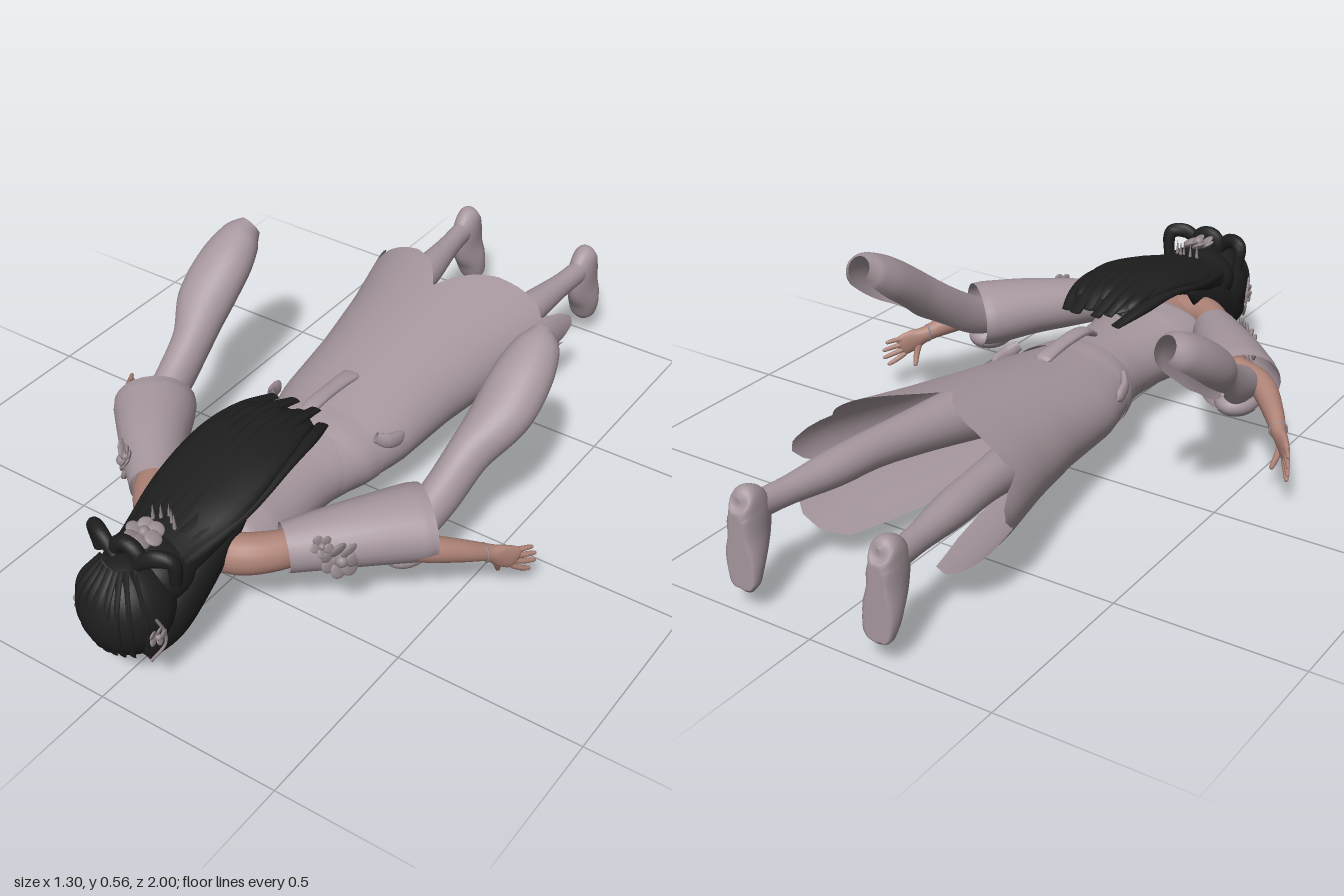
import * as THREE from 'three';

const mat = (name, color) => {
  const m = new THREE.MeshStandardMaterial({ color, side: THREE.DoubleSide });
  m.name = name;
  return m;
};
const V = (x, y, z) => new THREE.Vector3(x, y, z);
const Y = V(0, 1, 0), Z = V(0, 0, 1);

// Grid surface from a rule fn(u, v); closed joins the u ends
function surface(fn, nu, nv, closed = true) {
  const pos = [], idx = [], row = closed ? nu : nu + 1;
  for (let j = 0; j <= nv; j++)
    for (let i = 0; i < row; i++) pos.push(...fn(i / nu, j / nv).toArray());
  for (let j = 0; j < nv; j++)
    for (let i = 0; i < nu; i++) {
      const a = j * row + i, b = j * row + (i + 1) % row;
      idx.push(a, b, a + row, b, b + row, a + row);
    }
  const g = new THREE.BufferGeometry();
  g.setAttribute('position', new THREE.Float32BufferAttribute(pos, 3));
  g.setIndex(idx);
  g.computeVertexNormals();
  return g;
}

// Smooth tube through stations [x, y, z, half width, half height]; an arc in degrees leaves it open, zMin flattens it
function loft(st, nu = 20, up = Y, arc = [0, 360], zMin = -2) {
  const path = new THREE.CatmullRomCurve3(st.map(s => V(s[0], s[1], s[2])));
  const size = new THREE.CatmullRomCurve3(st.map((s, i) => V(s[3], s[4], i * 0.1)));
  return surface((u, v) => {
    const c = path.getPoint(v), s = size.getPoint(v), a = THREE.MathUtils.degToRad(THREE.MathUtils.lerp(arc[0], arc[1], u));
    const t = path.getTangent(v), side = t.clone().cross(up).normalize(), n = side.clone().cross(t);
    c.addScaledVector(side, Math.cos(a) * Math.max(s.x, 0.001)).addScaledVector(n, Math.sin(a) * Math.max(s.y, 0.001));
    c.z = Math.max(c.z, zMin);
    return c;
  }, nu, st.length * 5, arc[1] - arc[0] === 360);
}

// Linear lookup in rows [key, value...]
function lookup(rows, k, col = 1) {
  for (let i = 1; i < rows.length; i++)
    if (k <= rows[i][0]) {
      const f = (k - rows[i - 1][0]) / (rows[i][0] - rows[i - 1][0]);
      return THREE.MathUtils.lerp(rows[i - 1][col], rows[i][col], Math.max(0, f));
    }
  return rows[rows.length - 1][col];
}

export function createModel() {
  const model = new THREE.Group();
  const cloth = mat('mauve cloth', 0xa6979e), skin = mat('skin', 0xad8276);
  const hair = mat('black hair', 0x1e1e1e), trim = mat('grey trim', 0x94888d), lip = mat('lips', 0x8c4a48);
  const add = (name, geo, m, parent = model) => {
    const mesh = new THREE.Mesh(geo, m);
    mesh.name = name;
    parent.add(mesh);
    return mesh;
  };
  const ball = (name, p, r, m, parent) => {
    const b = add(name, new THREE.SphereGeometry(1, 28, 20), m, parent);
    b.position.set(...p);
    b.scale.set(...r);
    return b;
  };
  // Ring of petals around a small centre
  const flower = (name, p, r, parent, n = 6) => {
    const f = new THREE.Group();
    f.name = name;
    for (let i = 0; i < n; i++) {
      const a = i / n * Math.PI * 2;
      const b = ball('petal', [Math.cos(a) * r * 0.55, Math.sin(a) * r * 0.55, 0], [r * 0.45, r * 0.42, r * 0.14], trim, f);
      b.rotation.set(0.4 * Math.sin(a), 0.5, a);
    }
    ball('flowerCentre', [0, 0, r * 0.1], [r * 0.3, r * 0.3, r * 0.3], trim, f);
    f.position.set(...p);
    parent.add(f);
    return f;
  };

  // Bodice and neck
  add('bodice', loft([[0, 0.225, 0.62, 0.1, 0.045], [0, 0.205, 0.58, 0.155, 0.085], [0, 0.18, 0.5, 0.165, 0.108],
    [0, 0.178, 0.4, 0.145, 0.104], [0, 0.18, 0.27, 0.135, 0.104], [0, 0.185, 0.15, 0.155, 0.108]], 32), cloth);
  add('neck', loft([[0, 0.21, 0.8, 0.045, 0.045], [0, 0.22, 0.7, 0.045, 0.045], [0, 0.225, 0.62, 0.1, 0.05], [0, 0.22, 0.57, 0.13, 0.06]]), skin);

  // Long skirt with a scalloped hem and a front slit
  const rings = [[-0.75, 0.325, 0.25, 0.187], [-0.6, 0.305, 0.243, 0.18], [-0.4, 0.255, 0.226, 0.162],
    [-0.2, 0.22, 0.21, 0.143], [0, 0.202, 0.192, 0.123], [0.1, 0.177, 0.186, 0.113], [0.22, 0.14, 0.18, 0.105]];
  const hem = [[-90, -0.05], [-82, -0.2], [-72, -0.55], [-66, -0.69], [-55, -0.73], [-42, -0.73], [-25, -0.69], [-14, -0.61], [-9, -0.64],
    [0, -0.67], [10, -0.67], [18, -0.63], [24, -0.565], [35, -0.58], [50, -0.575], [64, -0.56], [74, -0.53], [82, -0.49], [90, -0.43]];
  add('skirt', surface((u, v) => {
    const a = u * Math.PI * 2 - Math.PI / 2;
    const deg = Math.asin(THREE.MathUtils.clamp(Math.sin(a), -1, 1)) * 180 / Math.PI;
    const z = THREE.MathUtils.lerp(0.22, lookup(hem, deg), v);
    return V(Math.cos(a) * lookup(rings, z, 1), lookup(rings, z, 2) + Math.sin(a) * lookup(rings, z, 3), z);
  }, 120, 24), cloth);

  // Waist sash, back ribbon and front pendant
  add('waistSash', loft([[0, 0.185, 0.17, 0.158, 0.112], [0, 0.187, 0.13, 0.174, 0.117], [0, 0.188, 0.09, 0.184, 0.119]], 32), cloth);
  add('backRibbon', loft([[0, 0.3, 0.22, 0.012, 0.008], [0, 0.33, 0.16, 0.022, 0.012], [0, 0.332, 0.05, 0.022, 0.012],
    [0, 0.325, -0.03, 0.025, 0.01], [0, 0.322, -0.04, 0.018, 0.004]], 12), cloth);
  add('pendantCord', loft([[0, 0.07, 0.42, 0.006, 0.005], [0, 0.05, 0.36, 0.01, 0.008], [0, 0.042, 0.31, 0.012, 0.01]], 8), trim);
  add('pendantRibbon', loft([[0, 0.045, 0.34, 0.005, 0.004], [0, 0.04, 0.3, 0.017, 0.009], [0, 0.018, 0.13, 0.017, 0.01], [0, 0.014, 0.11, 0.012, 0.01]], 12), cloth);
  flower('pendantFlower', [0, 0.045, 0.35], 0.022, model);

  // Head and face, turned downward
  ball('face', [0, 0.165, 0.815], [0.08, 0.083, 0.092], skin);
  ball('nose', [0, 0.083, 0.805], [0.01, 0.012, 0.016], skin);
  ball('lips', [0, 0.094, 0.768], [0.02, 0.007, 0.007], lip);
  ball('hairCap', [0, 0.22, 0.885], [0.12, 0.128, 0.115], hair);
  ball('hairNape', [0, 0.27, 0.8], [0.115, 0.085, 0.11], hair);
  // Long hair streaming along the back
  add('longHair', loft([[0, 0.28, 0.84, 0.1, 0.06], [0, 0.3, 0.72, 0.115, 0.06], [0, 0.345, 0.6, 0.135, 0.045],
    [0, 0.385, 0.45, 0.13, 0.033], [0, 0.388, 0.34, 0.11, 0.026], [0, 0.372, 0.26, 0.085, 0.014], [0, 0.365, 0.23, 0.05, 0.003]], 28), hair);
  for (let i = 0; i < 9; i++) {
    const x = (i - 4) / 4, r = 0.6 + 0.4 * Math.sqrt(1 - x * x), drop = 0.03 * x * x;
    add('hairLock', loft([[x * 0.085, 0.33 - drop, 0.78, 0.02, 0.02], [x * 0.118, 0.372 - drop, 0.6, 0.024, 0.02 * r],
      [x * 0.122, 0.408 - drop, 0.42, 0.022, 0.016 * r], [x * 0.108, 0.402 - drop, 0.3, 0.02, 0.014],
      [x * 0.085, 0.368 - drop * 0.5, 0.19 + 0.03 * (i * 2 % 3), 0.016, 0.005]], 8), hair);
    // Combed ridges over the crown
    const ridge = [[0.05, 0.35], [0.105, 0.28], [0.114, 0.2], [0.09, 0.13]].map(([h, y]) =>
      [x * h * 0.86, y, 0.878 + h * Math.sqrt(1 - 0.72 * x * x), 0.013, 0.004]);
    add('crownRidge', loft(ridge, 8, Z), hair);
  }
  // Top knot and hair ornament
  add('topKnot', new THREE.TorusGeometry(0.035, 0.02, 10, 24), hair).position.set(0, 0.35, 0.87);
  flower('hairOrnament', [0, 0.372, 0.81], 0.05, model).rotation.x = -Math.PI / 2;
  for (let i = -2; i <= 2; i++)
    add('ornamentPin', new THREE.ConeGeometry(0.006, 0.05, 6), trim).position.set(i * 0.016, 0.375, 0.74 - 0.01 * (2 - Math.abs(i)));

  // Paired parts, built at +x and turned over for -x
  for (const s of [1, -1]) {
    const side = new THREE.Group();
    side.name = s > 0 ? 'leftSide' : 'rightSide';
    side.scale.x = s;
    model.add(side);
    const part = (name, geo, m) => add(name, geo, m, side);

    // Face and hair details
    ball('eye', [0.034, 0.092, 0.828], [0.017, 0.007, 0.007], hair, side);
    part('sideLock', loft([[0.085, 0.14, 0.93, 0.015, 0.03], [0.1, 0.17, 0.84, 0.022, 0.05], [0.105, 0.23, 0.74, 0.022, 0.05], [0.105, 0.29, 0.62, 0.014, 0.03], [0.11, 0.33, 0.54, 0, 0]], 12), hair);
    part('fringe', loft([[0.015, 0.105, 0.935, 0.01, 0.008], [0.05, 0.1, 0.88, 0.016, 0.01], [0.078, 0.125, 0.81, 0.015, 0.014], [0.085, 0.16, 0.74, 0.004, 0.006]], 10), hair);
    part('hairLoop', loft([[0.03, 0.34, 0.88, 0.015, 0.015], [0.075, 0.375, 0.87, 0.022, 0.018], [0.115, 0.37, 0.85, 0.02, 0.018], [0.115, 0.3, 0.84, 0.015, 0.015]], 10, Z), hair);
    flower('templeFlower', [0.118, 0.2, 0.92], 0.028, side, 5).rotation.y = 1.2;
    part('beadString', loft([[0.118, 0.25, 0.92, 0.004, 0.004], [0.122, 0.2, 0.9, 0.004, 0.004], [0.12, 0.16, 0.9, 0.004, 0.004], [0.1, 0.12, 0.93, 0.004, 0.004]], 6, Z), trim);

    // Bare shoulder, wide sleeve and its trailing end, open underneath
    part('shoulder', loft([[0.05, 0.23, 0.64, 0.05, 0.05], [0.13, 0.237, 0.62, 0.05, 0.053], [0.19, 0.237, 0.565, 0.048, 0.05], [0.25, 0.237, 0.48, 0.04, 0.045], [0.36, 0.232, 0.37, 0.035, 0.035]]), skin);
    part('sleeve', loft([[0.2, 0.237, 0.545, 0.062, 0.063], [0.25, 0.24, 0.485, 0.075, 0.07], [0.33, 0.243, 0.39, 0.092, 0.08],
      [0.4, 0.24, 0.3, 0.108, 0.088], [0.425, 0.24, 0.27, 0.108, 0.085]], 24), cloth);
    part('sleeveTrain', loft([[0.405, 0.22, 0.31, 0.05, 0.05], [0.42, 0.265, 0.2, 0.05, 0.06], [0.435, 0.335, 0.09, 0.055, 0.06], [0.463, 0.405, -0.01, 0.078, 0.066],
      [0.467, 0.47, -0.105, 0.077, 0.064], [0.465, 0.515, -0.175, 0.058, 0.052], [0.458, 0.535, -0.21, 0.03, 0.035]], 24, Y, [-50, 230]), cloth);
    ball('sleeveCuff', [0.4, 0.175, 0.31], [0.06, 0.042, 0.08], cloth, side);
    flower('sleeveFlower', [0.335, 0.235, 0.5], 0.055, side, 7).rotation.y = 0.7;
    flower('sleeveFlowerSmall', [0.3, 0.28, 0.53], 0.03, side, 5).rotation.set(-0.6, 0.5, 0);

    // Forearm and spread hand
    part('forearm', loft([[0.36, 0.23, 0.37, 0.035, 0.035], [0.45, 0.215, 0.34, 0.036, 0.036], [0.53, 0.185, 0.26, 0.027, 0.029],
      [0.57, 0.163, 0.21, 0.02, 0.023], [0.595, 0.148, 0.185, 0.014, 0.032], [0.618, 0.133, 0.157, 0.01, 0.03], [0.625, 0.128, 0.15, 0, 0]], 16), skin);
    for (let i = 0; i < 4; i++) {
      const y = 0.155 - i * 0.015, len = [0.85, 1, 1, 0.8][i];
      part('finger', loft([[0.61, y, 0.165, 0.008, 0.008], [0.61 + 0.022 * len, y - 0.006 * i, 0.165 - 0.03 * len, 0.007, 0.007],
        [0.61 + 0.037 * len, y - 0.008 * i - 0.003, 0.165 - 0.055 * len, 0.005, 0.005], [0.61 + 0.039 * len, y - 0.008 * i - 0.004, 0.165 - 0.058 * len, 0, 0]], 8), skin);
    }
    part('thumb', loft([[0.58, 0.145, 0.2, 0.01, 0.01], [0.582, 0.115, 0.185, 0.009, 0.009], [0.575, 0.08, 0.165, 0.006, 0.006], [0.574, 0.077, 0.163, 0, 0]], 8, Z), skin);
    const cuff = part('bracelet', new THREE.TorusGeometry(0.023, 0.003, 8, 20), trim);
    cuff.position.set(0.565, 0.166, 0.217);
    cuff.rotation.y = -0.63;

    // Hip bow
    part('hipBow', loft([[0.165, 0.27, 0.1, 0.008, 0.015], [0.186, 0.25, 0.07, 0.012, 0.022], [0.196, 0.24, 0.03, 0.01, 0.02], [0.198, 0.235, 0.015, 0, 0]], 12), cloth);

    // Legs: bare thigh, stocking and pointed-down foot
    part('thigh', loft([[0.085, 0.185, 0.1, 0.08, 0.08], [0.1, 0.185, -0.02, 0.083, 0.085], [0.118, 0.2, -0.14, 0.076, 0.08], [0.128, 0.208, -0.22, 0.07, 0.074]]), skin);
    part('stocking', loft([[0.122, 0.203, -0.17, 0.077, 0.081], [0.138, 0.217, -0.3, 0.067, 0.068], [0.15, 0.23, -0.42, 0.056, 0.058], [0.163, 0.242, -0.55, 0.048, 0.05],
      [0.175, 0.246, -0.68, 0.046, 0.047], [0.19, 0.25, -0.82, 0.033, 0.036], [0.198, 0.253, -0.9, 0.03, 0.035], [0.2, 0.255, -0.95, 0.032, 0.035]]), cloth);
    part('foot', loft([[0.2, 0.3, -0.985, 0, 0], [0.2, 0.296, -0.975, 0.03, 0.035], [0.2, 0.262, -0.955, 0.036, 0.06], [0.2, 0.2, -0.96, 0.037, 0.065],
      [0.198, 0.135, -0.98, 0.045, 0.05], [0.194, 0.085, -0.99, 0.038, 0.035], [0.192, 0.068, -0.995, 0.022, 0.02], [0.192, 0.065, -0.998, 0, 0]], 24, Z, [0, 360], -1), cloth);
  }
  return model;
}
